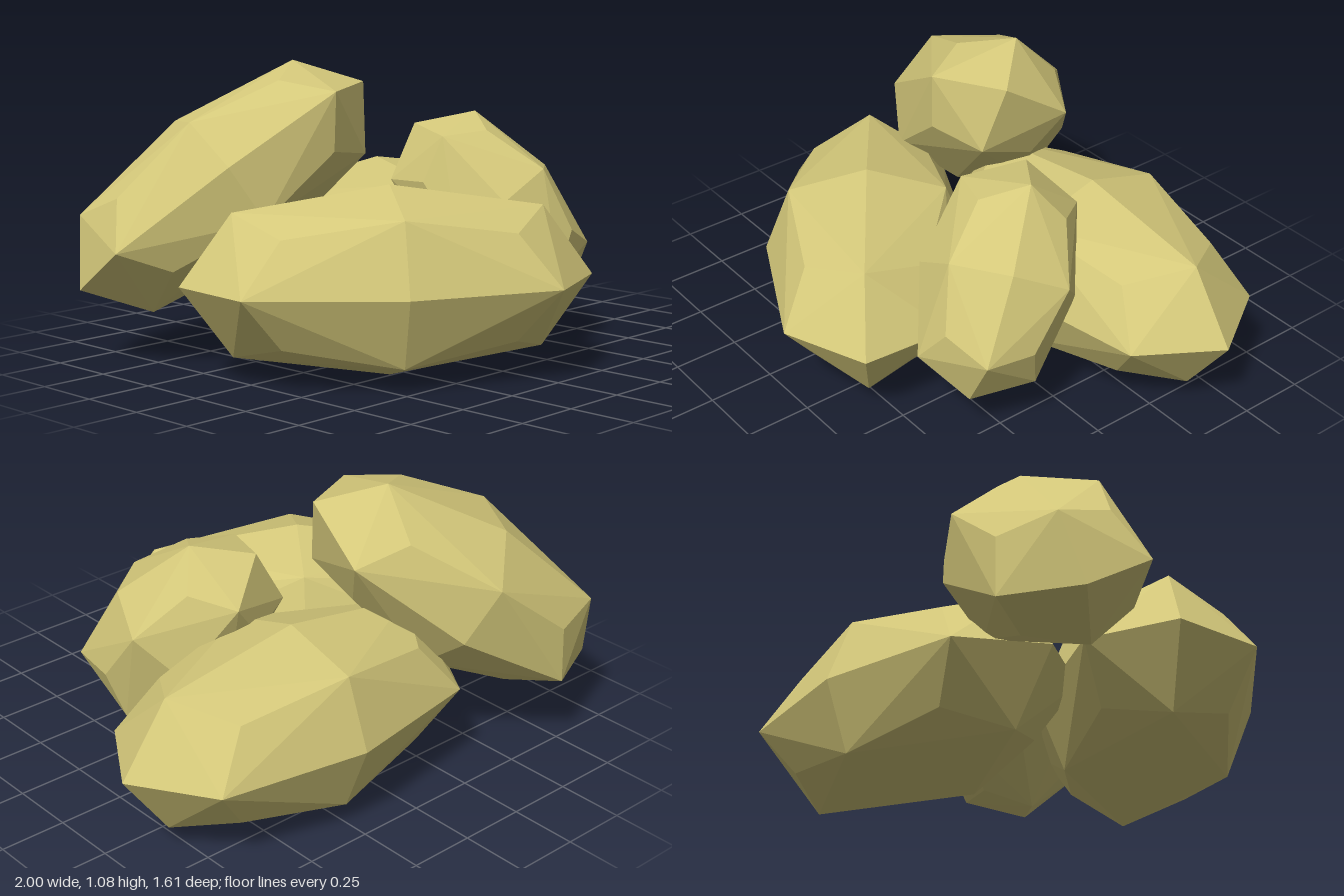
import * as THREE from 'three';
import { ConvexGeometry } from 'three/addons/geometries/ConvexGeometry.js';

// How far face centres, edge middles and corners of a softened cube sit from its middle.
const SOFTEN = [0, 1, 0.75, 0.5556];

// Faceted stone: a softened cube stretched along three half-axes.
function stone(name, centre, axes, material) {
  const [a, b, c] = axes.map((v) => new THREE.Vector3(...v));
  const points = [];
  for (let i = -1; i <= 1; i++) {
    for (let j = -1; j <= 1; j++) {
      for (let k = -1; k <= 1; k++) {
        const s = SOFTEN[Math.abs(i) + Math.abs(j) + Math.abs(k)];
        if (s === 0) continue;
        points.push(new THREE.Vector3()
          .addScaledVector(a, i * s)
          .addScaledVector(b, j * s)
          .addScaledVector(c, k * s));
      }
    }
  }
  const mesh = new THREE.Mesh(new ConvexGeometry(points), material);
  mesh.name = name;
  mesh.position.set(...centre);
  return mesh;
}

export function createModel() {
  const group = new THREE.Group();
  group.name = 'stonePile';
  const material = new THREE.MeshStandardMaterial({ color: 0xd4c87a, flatShading: true });

  // Two stones lying flat on the ground
  group.add(stone('backStone', [0.26, 0.342, -0.37],
    [[0.74, 0, 0], [0, 0.338, 0], [0, 0, 0.39]], material));
  group.add(stone('frontStone', [-0.31, 0.342, 0.24],
    [[0.592, 0, 0.435], [0, 0.338, 0], [-0.232, 0, 0.315]], material));

  // Stone leaning on top of the others
  group.add(stone('topStone', [-0.485, 0.638, -0.427],
    [[0.475, 0.362, 0.247], [-0.082, 0.227, -0.171], [-0.207, 0.1, 0.26]], material));

  // Small stone propped upright
  group.add(stone('smallStone', [0.345, 0.507, 0.14],
    [[-0.152, 0.328, -0.247], [0.172, -0.071, -0.217], [0.205, 0.165, 0.1]], material));

  return group;
}
